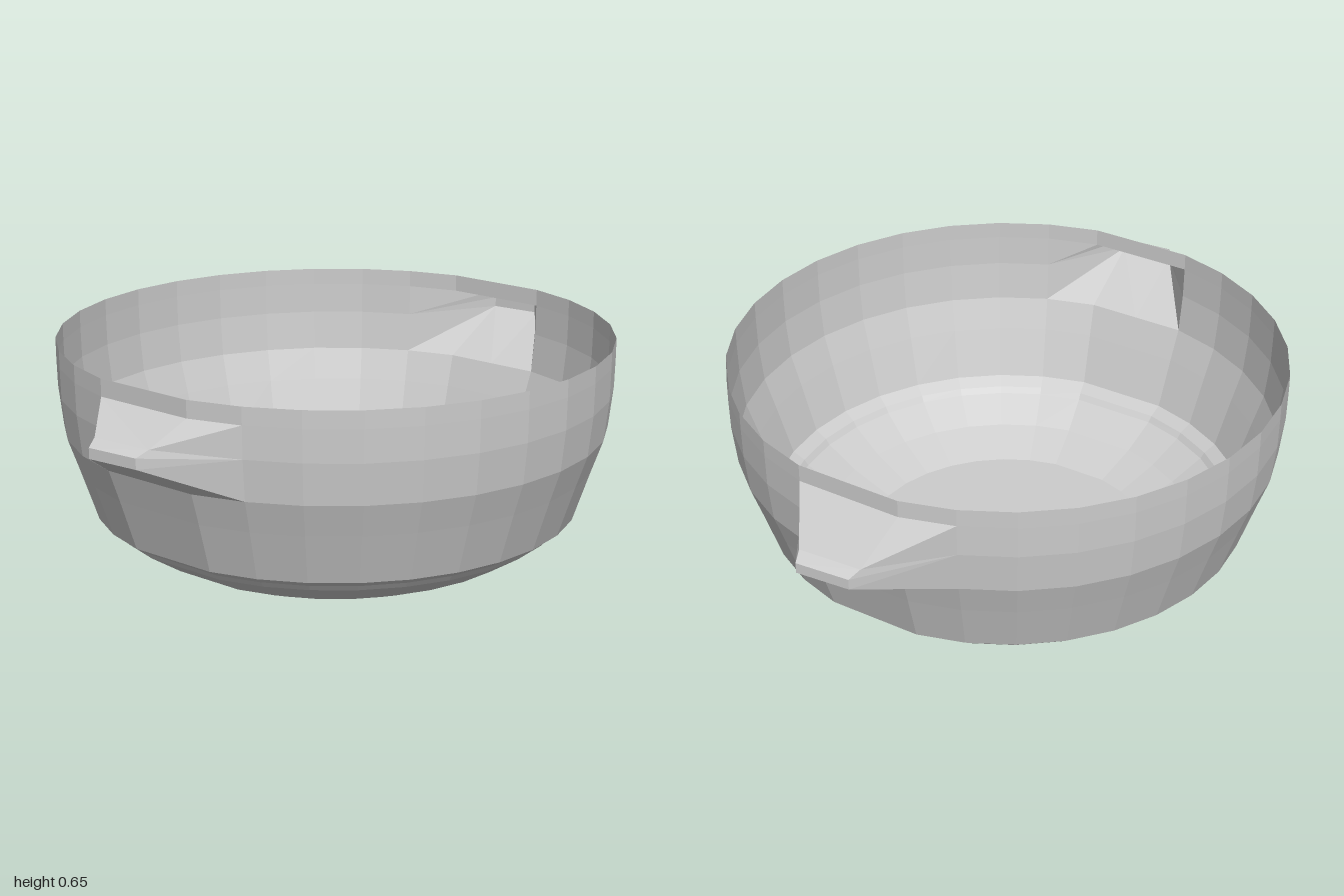
import * as THREE from 'three';

const clay = new THREE.MeshStandardMaterial({ color: 0xcccccc, flatShading: true, side: THREE.DoubleSide });
clay.name = 'plainGrey';

const STEP = Math.PI / 16;
const CENTRE_X = -0.0175;

// Wall profile from foot to rim: [radius, height]
const PROFILE = [
  [0.435, 0], [0.56, 0.052], [0.655, 0.113], [0.668, 0.13], [0.703, 0.152],
  [0.752, 0.3], [0.785, 0.395], [0.798, 0.513], [0.8, 0.605], [0.8, 0.655],
];
const LOW = 6, MID = 7, HIGH = 8; // rows bounding the handle openings

// Point on the wall at a profile row and an angle step
function wall(row, k) {
  const [r, y] = PROFILE[row];
  return [CENTRE_X + r * Math.cos(k * STEP), y, r * Math.sin(k * STEP)];
}

// Flat-shaded surface from a list of polygons, each split as a fan
function surface(name, polygons) {
  const pos = [];
  for (const p of polygons)
    for (let i = 1; i < p.length - 1; i++) pos.push(...p[0], ...p[i], ...p[i + 1]);
  const geo = new THREE.BufferGeometry();
  geo.setAttribute('position', new THREE.Float32BufferAttribute(pos, 3));
  geo.computeVertexNormals();
  const mesh = new THREE.Mesh(geo, clay);
  mesh.name = name;
  return mesh;
}

// Angle steps around the bowl; the two side facets are double width
const STEPS = [];
for (let k = 1; k <= 31; k++) if (k !== 16) STEPS.push(k);

function makeBowl() {
  const faces = [];
  for (let row = 0; row < PROFILE.length - 1; row++) {
    STEPS.forEach((a, i) => {
      const b = i + 1 < STEPS.length ? STEPS[i + 1] : STEPS[0] + 32;
      // The handles open into the bowl through two facets on each side
      const opening = row >= LOW && row < HIGH && [14, 15, 30, 31].includes(a);
      if (!opening) faces.push([wall(row, a), wall(row + 1, a), wall(row + 1, b), wall(row, b)]);
    });
  }
  return surface('bowlWall', faces);
}

function makeBase() {
  return surface('bowlBase', [STEPS.map((k) => wall(0, k))]);
}

// Hollow handle drawn out of the wall; turn = 0 for left, 16 for right
function makeHandle(name, turn) {
  const s = turn ? -1 : 1;
  const at = (row, k) => wall(row, k + turn);
  const tip = (x, y, z) => [s * x, y, s * z];
  const near = [LOW, MID, HIGH].map((row) => at(row, 1));
  const far = [LOW, MID, HIGH].map((row) => at(row, -2));
  const kneeLow = at(LOW, -1), kneeHigh = at(HIGH, -1);
  const midLow = near[0].map((v, i) => (v + kneeLow[i]) / 2);
  // Tip corners: lower edge, upper edge and bevel
  const p0 = tip(1, 0.513, 0), p1 = tip(0.987, 0.513, -0.155);
  const q0 = tip(1, 0.543, 0), q1 = tip(0.987, 0.543, -0.155);
  const t0 = tip(0.967, 0.561, 0.012), t1 = tip(0.955, 0.561, -0.17);
  return surface(name, [
    [midLow, kneeLow, p1, p0],                        // underside
    [near[0], midLow, p0, near[1]],                   // lower cheeks
    [far[0], far[1], p1, kneeLow],
    [near[1], p0, q0, t0, near[2]],                   // upper cheeks
    [far[1], far[2], t1, q1, p1],
    [p0, p1, q1, q0], [q0, q1, t1, t0],               // tip and bevel
    [near[2], t0, t1, kneeHigh], [kneeHigh, t1, far[2]], // top
  ]);
}

export function createModel() {
  const group = new THREE.Group();
  group.name = 'handledBowl';
  group.add(makeBowl(), makeBase(), makeHandle('leftHandle', 0), makeHandle('rightHandle', 16));
  return group;
}
